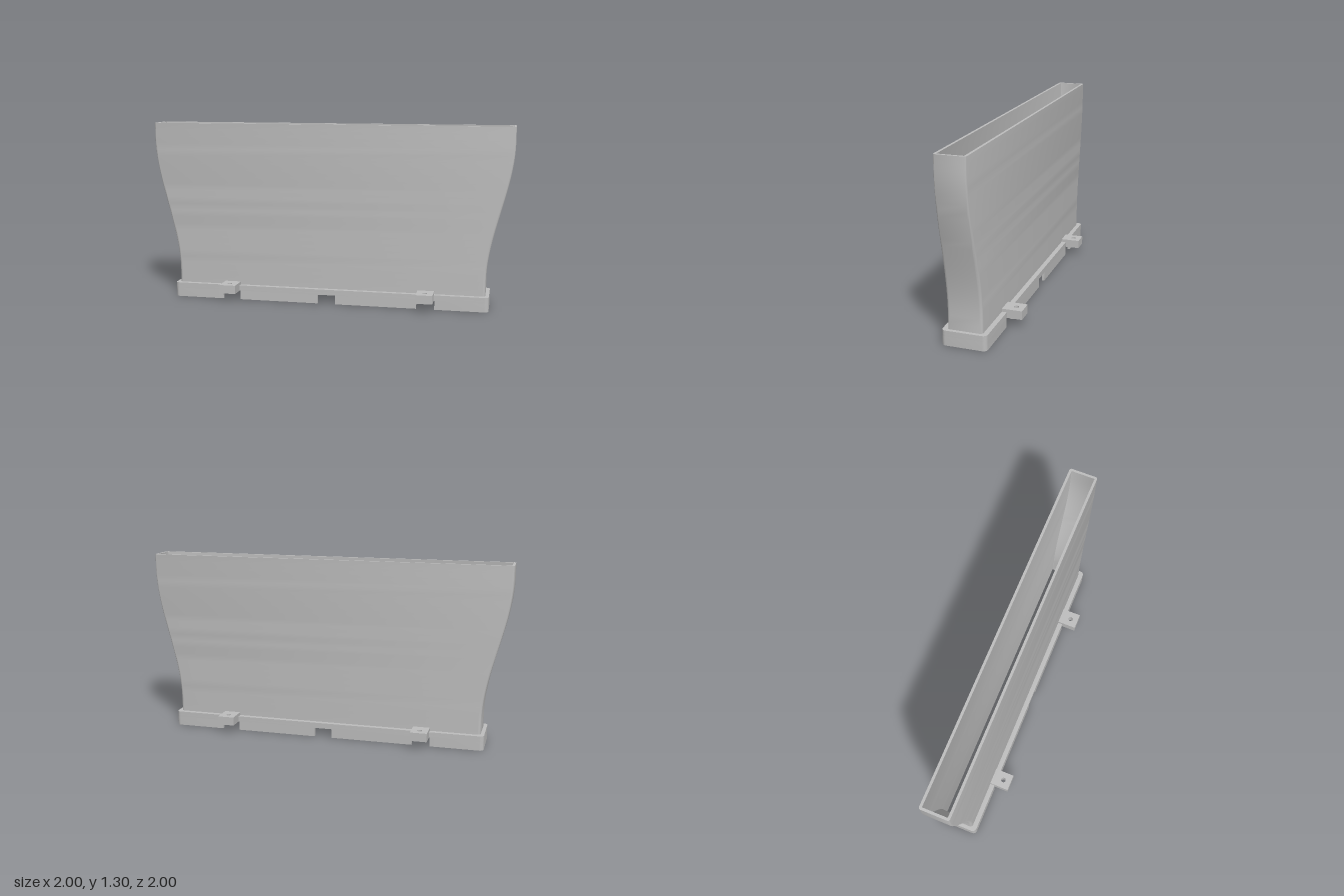
import * as THREE from 'three';
import { toCreasedNormals } from 'three/addons/utils/BufferGeometryUtils.js';

const WALL = 0.018;
const FLANGE = { u: 1.164, w: 0.155, r: 0.03 };
const FLANGE_H = 0.105, LEDGE_Y = 0.085, NOTCH_H = 0.065;
const NOTCH_HALF = 0.065, TAB_U = 0.72;

// Rounded rectangle, counter-clockwise, half length u and half width w
function ring(u, w, r, steps = 5) {
  const pts = [];
  [[1, 1], [-1, 1], [-1, -1], [1, -1]].forEach(([sx, sy], q) => {
    for (let i = 0; i <= steps; i++) {
      const a = (q + i / steps) * Math.PI / 2;
      pts.push(new THREE.Vector2(sx * (u - r) + r * Math.cos(a), sy * (w - r) + r * Math.sin(a)));
    }
  });
  return pts;
}

// Flat shape raised from y0 to y1
function slab(shape, y0, y1) {
  const g = new THREE.ExtrudeGeometry(shape, { depth: y1 - y0, bevelEnabled: false, curveSegments: 10 });
  g.rotateX(-Math.PI / 2);
  g.translate(0, y0, 0);
  return toCreasedNormals(g, 0.6);
}

function frame(outer, inner) {
  const s = new THREE.Shape(outer);
  s.holes.push(new THREE.Path(inner));
  return s;
}

// Half sizes of the duct at a height: long sides flare out in an S-curve
function section(y) {
  const t = THREE.MathUtils.smoothstep(y, 0.2, 1.2);
  return { u: THREE.MathUtils.lerp(1.138, 1.318, t), w: THREE.MathUtils.lerp(0.12, 0.105, t), r: THREE.MathUtils.lerp(0.02, 0.015, t) };
}
const outerRing = y => { const s = section(y); return ring(s.u, s.w, s.r); };
const innerRing = y => { const s = section(y); return ring(s.u - WALL, s.w - WALL, 0.004); };

// Duct wall: outside going up, over the rim, inside going down
function ductGeometry() {
  const heights = [];
  for (let i = 0; i <= 24; i++) heights.push(FLANGE_H + (1.3 - FLANGE_H) * i / 24);
  const rows = [
    ...heights.map(y => [y, outerRing(y)]),
    ...heights.slice().reverse().map(y => [y, innerRing(y)]),
  ];
  const pos = [];
  const put = ([y, pts], i) => { const p = pts[i % pts.length]; pos.push(p.x, y, -p.y); };
  for (let j = 0; j < rows.length - 1; j++) {
    const a = rows[j], b = rows[j + 1];
    for (let i = 0; i < a[1].length; i++) {
      put(a, i); put(a, i + 1); put(b, i + 1);
      put(a, i); put(b, i + 1); put(b, i);
    }
  }
  const g = new THREE.BufferGeometry();
  g.setAttribute('position', new THREE.Float32BufferAttribute(pos, 3));
  return toCreasedNormals(g, 0.6);
}

export function createModel() {
  const grey = new THREE.MeshStandardMaterial({ color: 0xbcbcbc });
  grey.name = 'grey plastic';
  const model = new THREE.Group();
  model.name = 'flaredDuct';
  const duct = new THREE.Group();
  duct.name = 'ductAssembly';
  duct.rotation.y = -Math.PI / 4;
  model.add(duct);
  const add = (name, geometry, parent = duct) => {
    const m = new THREE.Mesh(geometry, grey);
    m.name = name;
    parent.add(m);
    return m;
  };

  add('ductWall', ductGeometry());

  // Flange: ledge under the duct, then a thin skirt
  const outer = ring(FLANGE.u, FLANGE.w, FLANGE.r);
  const inU = FLANGE.u - WALL, inW = FLANGE.w - WALL;
  const inner = ring(inU, inW, FLANGE.r - WALL);
  add('flangeLedge', slab(frame(outer, innerRing(FLANGE_H)), LEDGE_Y, FLANGE_H));
  add('flangeSkirt', slab(frame(outer, inner), NOTCH_H, LEDGE_Y));

  // Lower skirt, broken by notches: C-shaped ends and straight runs
  const cut = TAB_U + NOTCH_HALF;
  const right = pts => pts.filter(p => p.x > 0);
  const byAngle = pts => right(pts).sort((a, b) => Math.atan2(a.y, a.x) - Math.atan2(b.y, b.x));
  const endShape = new THREE.Shape([
    new THREE.Vector2(cut, -FLANGE.w), ...byAngle(outer), new THREE.Vector2(cut, FLANGE.w),
    new THREE.Vector2(cut, inW), ...byAngle(inner).reverse(), new THREE.Vector2(cut, -inW),
  ]);
  const endGeo = slab(endShape, 0, NOTCH_H);
  const runLength = TAB_U - 2 * NOTCH_HALF;
  const runGeo = new THREE.BoxGeometry(runLength, NOTCH_H, WALL);

  // Screw tab with a hole, and its root against the duct
  const tabShape = new THREE.Shape([[-0.06, 0.14], [0.06, 0.14], [0.06, 0.262], [-0.06, 0.262]]
    .map(([x, y]) => new THREE.Vector2(x, y)));
  const hole = new THREE.Path();
  hole.absarc(0, 0.203, 0.018, 0, Math.PI * 2, true);
  tabShape.holes.push(hole);
  const tabGeo = slab(tabShape, NOTCH_H, 0.127);
  const rootGeo = new THREE.BoxGeometry(0.12, 0.127 - FLANGE_H, 0.025);

  for (const turn of [0, Math.PI]) {
    const half = new THREE.Group();
    half.name = turn ? 'backHalf' : 'frontHalf';
    half.rotation.y = turn;
    duct.add(half);
    add('skirtEnd', endGeo, half);
    for (const side of [-1, 1]) {
      add('skirtRun', runGeo, half)
        .position.set(side * (NOTCH_HALF + runLength / 2), NOTCH_H / 2, -(FLANGE.w - WALL / 2));
      add('screwTab', tabGeo, half).position.x = side * TAB_U;
      add('tabRoot', rootGeo, half).position.set(side * TAB_U, (0.127 + FLANGE_H) / 2, -0.1275);
    }
  }
  return model;
}
